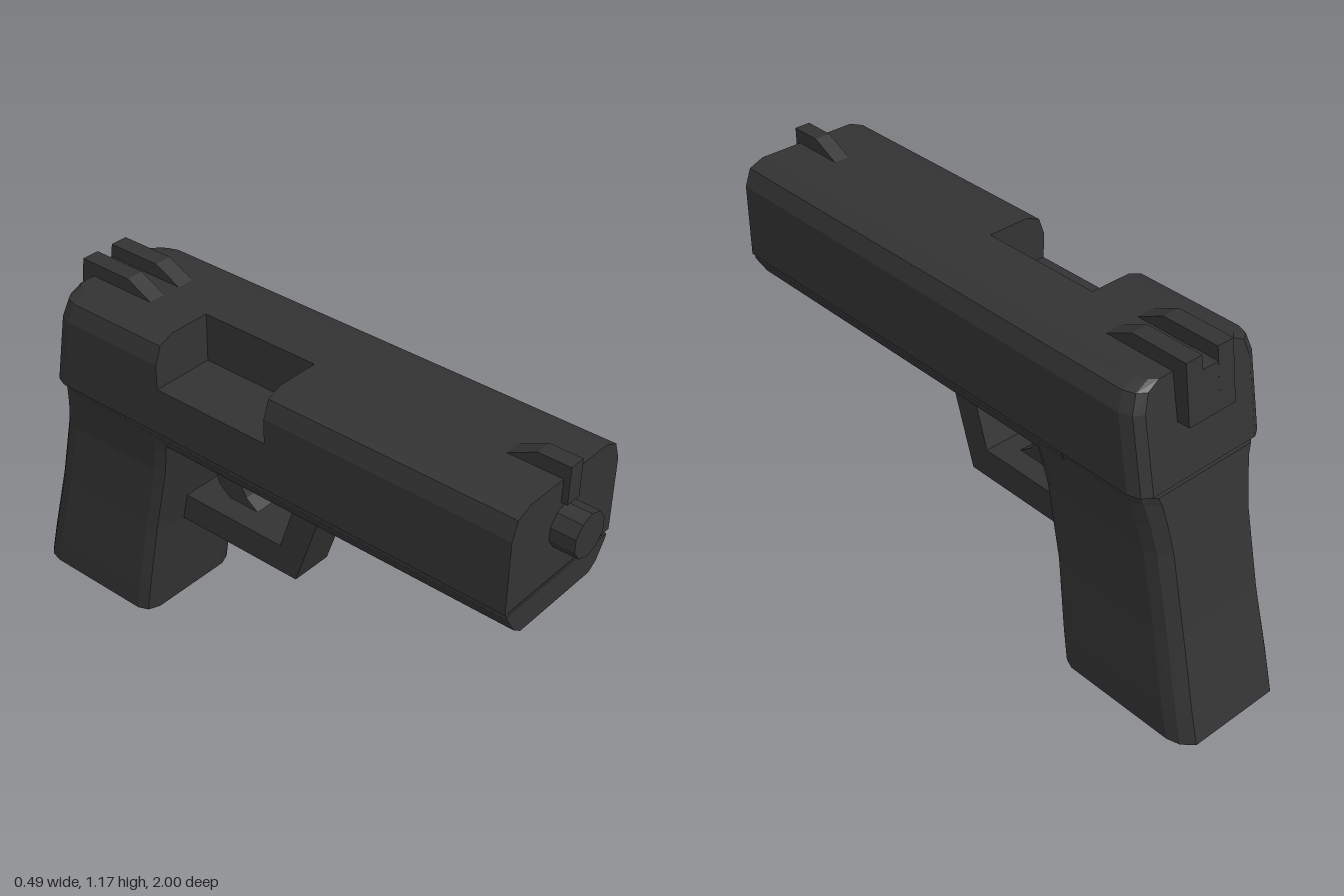
import * as THREE from 'three';

const material = new THREE.MeshStandardMaterial({ color: 0x333333, flatShading: true });

function part(name, geometry) {
  const mesh = new THREE.Mesh(geometry, material);
  mesh.name = name;
  return mesh;
}

function toShape(points) {
  return new THREE.Shape(points.map(([x, y]) => new THREE.Vector2(x, y)));
}

// Section in x, y swept from z0 up to z1
function sweepZ(points, z0, z1) {
  return new THREE.ExtrudeGeometry(toShape(points), { depth: z1 - z0, bevelEnabled: false }).translate(0, 0, z0);
}

// Side profile in z, y given thickness from x0 to x1
function sweepX(points, x0, x1) {
  return new THREE.ExtrudeGeometry(toShape(points), { depth: x1 - x0, bevelEnabled: false })
    .rotateY(-Math.PI / 2).translate(x1, 0, 0);
}

// Closed solid through rings of equal point count, turned outward by its signed volume
function loft(rings) {
  const n = rings[0].length, last = (rings.length - 1) * n;
  const points = rings.flat().map((p) => new THREE.Vector3(...p));
  const tris = [];
  for (let r = 0; r < rings.length - 1; r++) {
    for (let i = 0; i < n; i++) {
      const a = r * n + i, b = r * n + (i + 1) % n;
      tris.push([a, b, b + n], [a, b + n, a + n]);
    }
  }
  for (let i = 1; i < n - 1; i++) {
    tris.push([0, i + 1, i], [last, last + i, last + i + 1]);
  }
  const volume = tris.reduce((sum, [a, b, c]) =>
    sum + points[a].dot(new THREE.Vector3().crossVectors(points[b], points[c])), 0);
  const index = tris.flatMap(([a, b, c]) => (volume > 0 ? [a, b, c] : [a, c, b]));
  const geometry = new THREE.BufferGeometry().setFromPoints(points);
  geometry.setIndex(index);
  geometry.computeVertexNormals();
  return geometry;
}

// Right half of an outline plus its mirror image
function mirrored(half) {
  return [...half, ...half.map(([x, ...rest]) => [-x, ...rest]).reverse()];
}

export function createModel() {
  const group = new THREE.Group();

  // Slide: plain front, notched middle for the port, slanted and bevelled tail
  const slideHalf = [[0.245, 0.81], [0.245, 1.053], [0.224, 1.109], [0.174, 1.13]];
  const slideSection = mirrored(slideHalf);
  const portSection = [...slideHalf, [-0.03, 1.13], [-0.03, 0.97], [-0.245, 0.97], [-0.245, 0.81]];
  const rearZ = (y) => -0.815 + (y - 0.81) * 0.19;
  const tailRing = (scale, inset) => slideSection.map(([x, y]) => [x * scale, y, rearZ(y) + inset]);
  const slide = new THREE.Group();
  slide.name = 'slide';
  slide.add(
    part('slideFront', sweepZ(slideSection, 0.08, 0.92)),
    part('slidePort', sweepZ(portSection, -0.34, 0.08)),
    part('slideTail', loft([
      slideSection.map(([x, y]) => [x, y, -0.34]),
      tailRing(1, 0.055), tailRing(0.94, 0.018), tailRing(0.82, 0),
    ])),
  );
  group.add(slide);

  // Narrow seam between slide and frame
  group.add(part('seam', new THREE.BoxGeometry(0.45, 0.03, 1.66).translate(0, 0.805, 0.085)));

  // Frame rail with sloping lower sides
  const frameHalf = [[0.163, 0.705], [0.195, 0.727], [0.235, 0.79], [0.235, 0.8]];
  group.add(part('frame', sweepZ(mirrored(frameHalf), -0.5, 0.92)));

  // Grip: height, half width, front z, back z
  const gripLevels = [
    [0, 0.205, -0.487, -1],
    [0.11, 0.204, -0.47, -0.973],
    [0.36, 0.194, -0.432, -0.912],
    [0.61, 0.194, -0.378, -0.857],
    [0.7, 0.206, -0.358, -0.838],
    [0.77, 0.221, -0.343, -0.823],
    [0.8, 0.235, -0.337, -0.817],
  ];
  group.add(part('grip', loft(gripLevels.map(([y, w, front, back]) => mirrored([
    [w * 0.74, y, front], [w * 0.93, y, front - 0.016], [w, y, front - 0.05],
    [w, y, back + 0.075], [w * 0.94, y, back + 0.033], [w * 0.78, y, back],
  ])))));

  // Trigger guard and trigger
  group.add(part('triggerGuard', sweepX([
    [0.166, 0.71], [0.048, 0.355], [-0.46, 0.355], [-0.46, 0.455], [-0.016, 0.455], [0.067, 0.71],
  ], -0.074, 0.074)));
  group.add(part('trigger', sweepX([
    [-0.19, 0.71], [-0.21, 0.6], [-0.18, 0.54], [-0.134, 0.507],
    [-0.25, 0.507], [-0.294, 0.54], [-0.312, 0.6], [-0.358, 0.71],
  ], -0.045, 0.045)));

  // Barrel end
  group.add(part('barrel', new THREE.CylinderGeometry(0.07, 0.07, 0.14, 10)
    .rotateX(Math.PI / 2).rotateZ(Math.PI).translate(0, 0.973, 0.93)));

  // Front sight
  group.add(part('frontSight', sweepX([
    [0.94, 1.055], [0.94, 1.175], [0.835, 1.175], [0.738, 1.129], [0.9, 1.055],
  ], -0.027, 0.027)));

  // Rear sight: two blades joined by a plate on the back of the slide
  const blade = [[-0.51, 1.129], [-0.604, 1.175], [-0.797, 1.175], [-0.824, 0.985], [-0.76, 0.985], [-0.72, 1.1]];
  for (const side of [-1, 1]) {
    const centre = side * 0.06;
    group.add(part(side > 0 ? 'rearSightLeft' : 'rearSightRight', sweepX(blade, centre - 0.03, centre + 0.03)));
  }
  group.add(part('rearSightPlate', sweepX([
    [-0.72, 1.131], [-0.803, 1.131], [-0.824, 0.985], [-0.74, 0.985],
  ], -0.03, 0.03)));

  return group;
}
